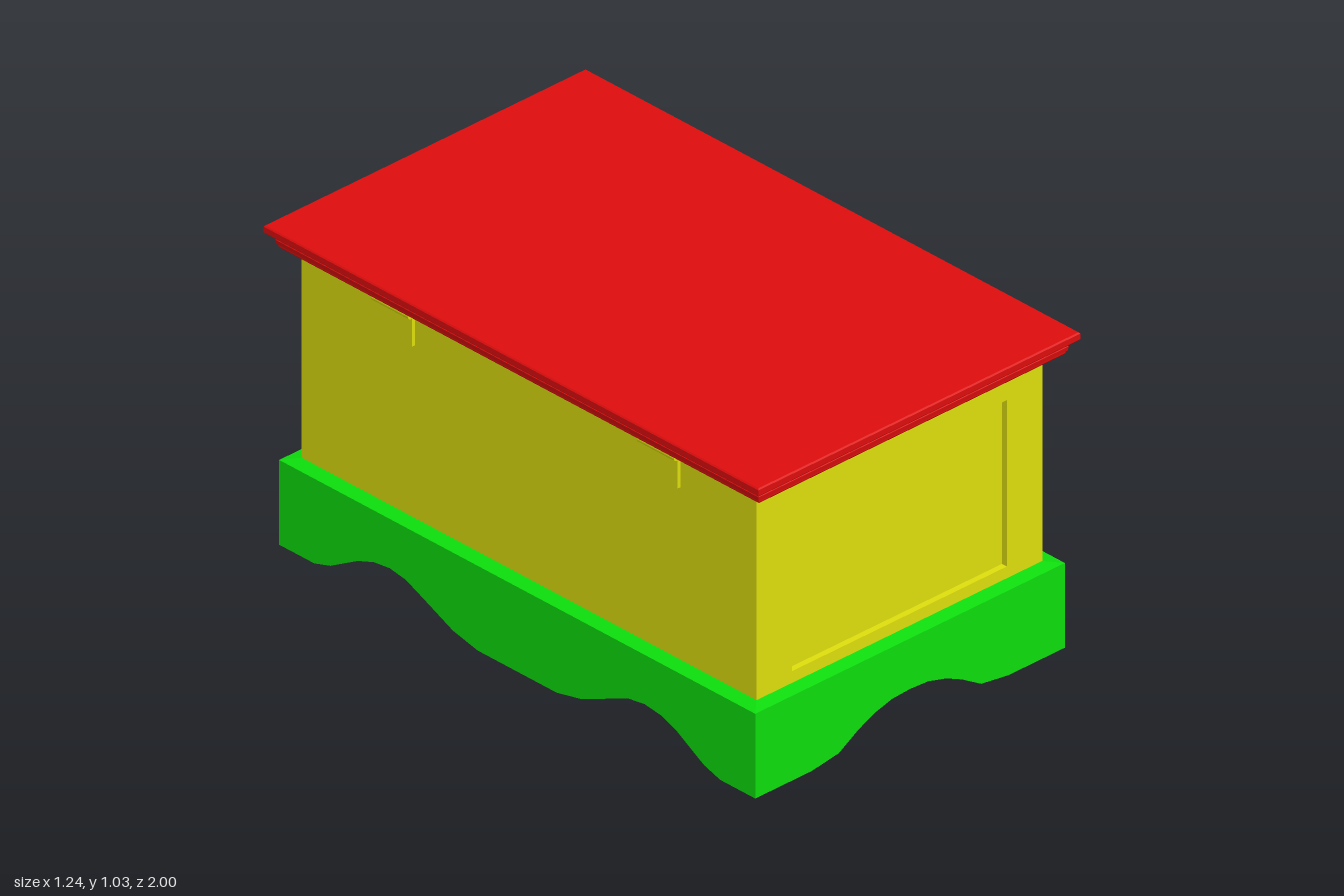
import * as THREE from 'three';
import { toCreasedNormals } from 'three/addons/utils/BufferGeometryUtils.js';

const paint = (color) => new THREE.MeshStandardMaterial({ color });

// Overall half sizes of each tier
const BODY = { x: 0.552, z: 0.919, bottom: 0.28, top: 0.94, wall: 0.07, recess: 0.02 };
const BASE = { x: 0.598, z: 0.962, top: 0.275, wall: 0.1, ceiling: 0.15 };
const LID = { x: 0.622, z: 1 };

// Closed solid from rectangular rings [halfX, halfZ, y], listed bottom to top
function rectLoft(rings) {
  const pos = [];
  const loops = rings.map(([x, z, y]) => [[-x, y, z], [x, y, z], [x, y, -z], [-x, y, -z]]);
  const quad = (a, b, c, d) => pos.push(...a, ...b, ...c, ...a, ...c, ...d);
  for (let i = 0; i < loops.length - 1; i++) {
    for (let k = 0; k < 4; k++) {
      const n = (k + 1) % 4;
      quad(loops[i][k], loops[i][n], loops[i + 1][n], loops[i + 1][k]);
    }
  }
  const [a, b, c, d] = loops[0];
  quad(d, c, b, a);
  quad(...loops[loops.length - 1]);
  const geo = new THREE.BufferGeometry();
  geo.setAttribute('position', new THREE.Float32BufferAttribute(pos, 3));
  geo.computeVertexNormals();
  return geo;
}

const toPoints = (list) => list.map(([x, y]) => new THREE.Vector2(x, y));

// Upright slab whose outer face lies at z = outer before turning about y
function slab(outline, hole, depth, outer, turn, material, name) {
  const shape = new THREE.Shape(toPoints(outline));
  if (hole) shape.holes.push(new THREE.Path(toPoints(hole)));
  let geo = new THREE.ExtrudeGeometry(shape, { depth, bevelEnabled: false });
  geo.translate(0, 0, outer - depth);
  geo = toCreasedNormals(geo, 0.6);
  geo.rotateY(turn);
  const mesh = new THREE.Mesh(geo, material);
  mesh.name = name;
  return mesh;
}

function box(w, h, d, x, y, z, material, name) {
  const mesh = new THREE.Mesh(new THREE.BoxGeometry(w, h, d), material);
  mesh.position.set(x, y, z);
  mesh.name = name;
  return mesh;
}

const rect = (hw, y0, y1) => [[-hw, y0], [hw, y0], [hw, y1], [-hw, y1]];

// Plinth with scalloped skirts and a hollow underside
function buildBase(material) {
  const base = new THREE.Group();
  base.name = 'base';
  const half = [[0.38, 0], [0.275, 0.015], [0.2, 0.06], [0.14, 0.088], [0.07, 0.107]];
  const endArch = [...half.map(([x, y]) => [-x, y]), [0, 0.111], ...half.slice().reverse()];
  const sideArch = [[0.16, 0], [0.26, 0.022], [0.38, 0.075], [0.45, 0.105], [0.515, 0.115],
    [0.58, 0.107], [0.645, 0.083], [0.755, 0.02], [0.82, 0]];
  const sideArches = [...sideArch.slice().reverse().map(([x, y]) => [-x, y]), ...sideArch];
  const skirt = (hw, arch) => [[-hw, 0], ...arch, [hw, 0], [hw, BASE.top], [-hw, BASE.top]];
  const sideHalf = BASE.z - BASE.wall;
  base.add(
    slab(skirt(BASE.x, endArch), null, BASE.wall, BASE.z, 0, material, 'frontSkirt'),
    slab(skirt(BASE.x, endArch), null, BASE.wall, BASE.z, Math.PI, material, 'backSkirt'),
    slab(skirt(sideHalf, sideArches), null, BASE.wall, BASE.x, Math.PI / 2, material, 'leftSkirt'),
    slab(skirt(sideHalf, sideArches), null, BASE.wall, BASE.x, -Math.PI / 2, material, 'rightSkirt'),
    box(2 * (BASE.x - BASE.wall), BASE.top - BASE.ceiling, 2 * sideHalf,
      0, (BASE.top + BASE.ceiling) / 2, 0, material, 'baseFloor'));
  const ledge = new THREE.Mesh(rectLoft([
    [BASE.x, BASE.z, BASE.top], [BODY.x, BODY.z, BODY.bottom + 0.002]]), material);
  ledge.name = 'baseLedge';
  base.add(ledge);
  return base;
}

// Open chest with recessed panels and a long finger notch on the left wall
function buildBody(material) {
  const body = new THREE.Group();
  body.name = 'body';
  const { bottom, top, wall, recess } = BODY;
  const sideHalf = BODY.z - wall;
  const panelled = (outline, panelHalf, outer, turn, name) => {
    body.add(
      slab(outline, rect(panelHalf, 0.32, 0.86), recess, outer, turn, material, name + 'Frame'),
      slab(outline, null, wall - recess, outer - recess, turn, material, name + 'Panel'));
  };
  const notched = [[-sideHalf, bottom], [sideHalf, bottom], [sideHalf, top], [0.75, top],
    [0.742, 0.905], [0.73, 0.892], [-0.73, 0.892], [-0.742, 0.905], [-0.75, top], [-sideHalf, top]];
  panelled(rect(BODY.x, bottom, top), 0.415, BODY.z, 0, 'front');
  panelled(rect(BODY.x, bottom, top), 0.415, BODY.z, Math.PI, 'back');
  panelled(notched, 0.705, BODY.x, Math.PI / 2, 'left');
  body.add(
    slab(rect(sideHalf, bottom, top), null, wall, BODY.x, -Math.PI / 2, material, 'rightWall'),
    box(2 * (BODY.x - wall), 0.05, 2 * sideHalf, 0, bottom + 0.025, 0, material, 'chestFloor'));
  return body;
}

// Moulded lid, given as [inset, y] steps, with two bumpers below
function buildLid(material) {
  const lid = new THREE.Group();
  lid.name = 'lid';
  const steps = [[0.036, 0.955], [0.03, 0.962], [0.03, 0.969], [0.025, 0.971], [0.023, 0.984],
    [0.026, 0.986], [0.008, 1.003], [0.003, 1.004], [0, 1.008], [0, 1.026], [0.004, 1.03]];
  const top = new THREE.Mesh(
    rectLoft(steps.map(([inset, y]) => [LID.x - inset, LID.z - inset, y])), material);
  top.name = 'lidTop';
  lid.add(top);
  for (const side of [-1, 1]) {
    const bumper = new THREE.Mesh(new THREE.SphereGeometry(0.014, 16, 10), material);
    bumper.scale.y = 0.9;
    bumper.position.set(0.533, 0.955, side * 0.9);
    bumper.name = 'bumper';
    lid.add(bumper);
  }
  return lid;
}

// Hinge: wall plate and barrel on the body, flat leaf under the lid
function buildHinge(z, bodyMaterial, lidMaterial) {
  const hinge = new THREE.Group();
  hinge.name = 'hinge';
  const barrel = new THREE.Mesh(new THREE.CylinderGeometry(0.011, 0.011, 0.15, 20), bodyMaterial);
  barrel.rotation.x = Math.PI / 2;
  barrel.position.set(-0.567, 0.944, 0);
  barrel.name = 'hingeBarrel';
  hinge.add(
    barrel,
    box(0.012, 0.1, 0.15, -0.557, 0.892, 0, bodyMaterial, 'hingePlate'),
    box(0.05, 0.012, 0.15, -0.534, 0.95, 0, lidMaterial, 'hingeLeaf'));
  hinge.position.z = z;
  return hinge;
}

export function createModel() {
  const model = new THREE.Group();
  model.name = 'chest';
  const red = paint(0xdd0d0d), yellow = paint(0xdddd0d), green = paint(0x0ddd0d);
  model.add(buildBase(green), buildBody(yellow), buildLid(red));
  for (const side of [-1, 1]) model.add(buildHinge(side * 0.537, yellow, red));
  return model;
}
